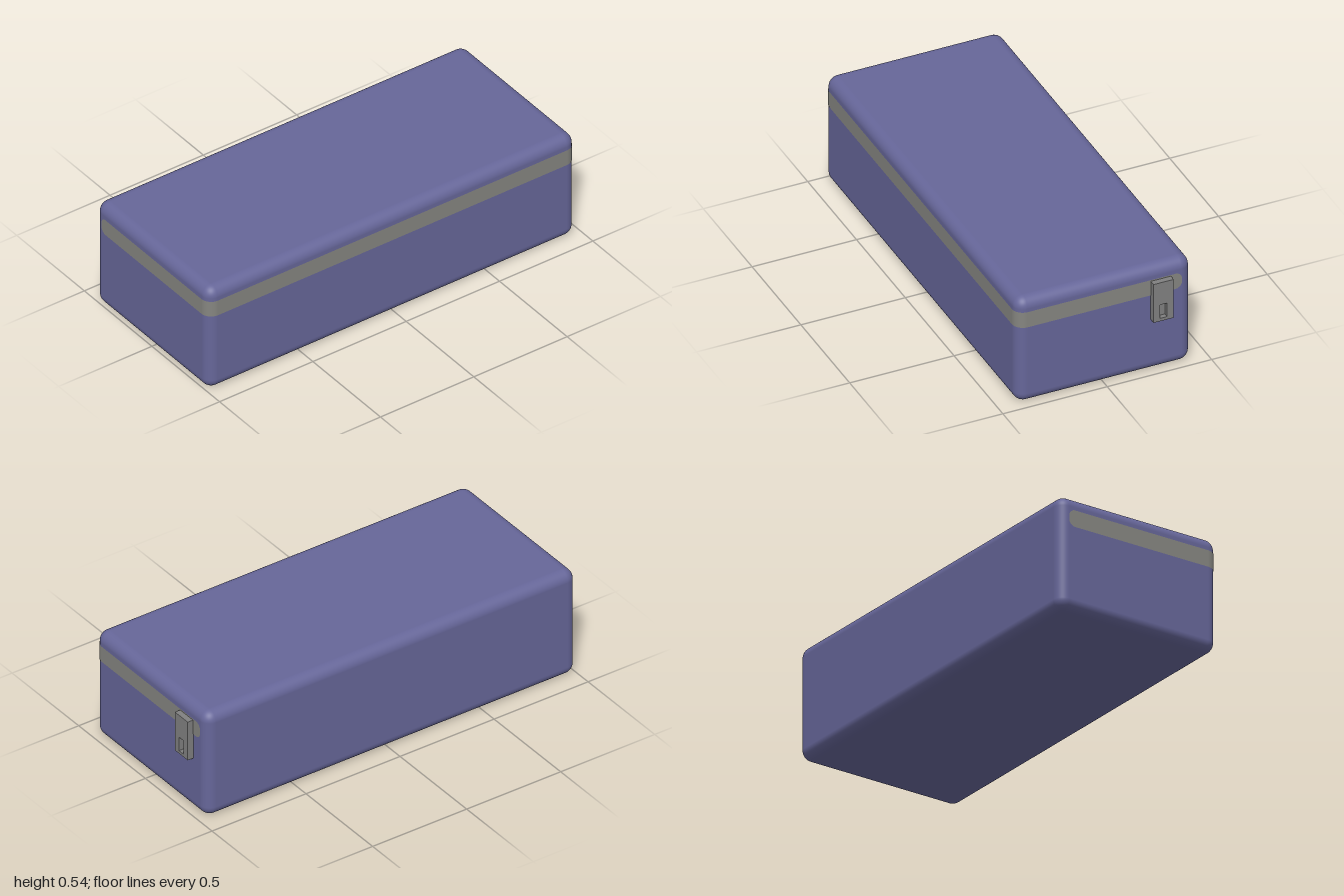
import * as THREE from 'three';
import { RoundedBoxGeometry } from 'three/addons/geometries/RoundedBoxGeometry.js';

const W = 0.418, H = 0.541, FRONT = 1, BACK = -0.97, R = 0.05;

// Band that follows the walls: front, +x side and back, with rounded-off ends
function bandGeometry(lift, bottom, top, endX) {
  const path = [];
  const add = (x, z, nx, nz, inset = 0) => path.push({ x, z, nx, nz, inset });
  const ends = [[0, 0.022], [0.008, 0.009], [0.022, 0]];
  ends.forEach(([d, inset]) => add(endX + d, FRONT + lift, 0, 1, inset));
  const corner = (cz, from) => {
    for (let i = 0; i <= 8; i++) {
      const a = from - (i / 8) * Math.PI / 2;
      const nx = Math.cos(a), nz = Math.sin(a);
      add(W - R + nx * (R + lift), cz + nz * (R + lift), nx, nz);
    }
  };
  corner(FRONT - R, Math.PI / 2);
  corner(BACK + R, 0);
  [...ends].reverse().forEach(([d, inset]) => add(endX + d, BACK - lift, 0, -1, inset));

  const pos = [], nor = [], idx = [];
  path.forEach((p, i) => {
    pos.push(p.x, bottom + p.inset, p.z, p.x, top - p.inset, p.z);
    nor.push(p.nx, 0, p.nz, p.nx, 0, p.nz);
    if (i) {
      const a = 2 * i - 2;
      idx.push(a, a + 2, a + 3, a, a + 3, a + 1);
    }
  });
  const g = new THREE.BufferGeometry();
  g.setAttribute('position', new THREE.Float32BufferAttribute(pos, 3));
  g.setAttribute('normal', new THREE.Float32BufferAttribute(nor, 3));
  g.setIndex(idx);
  return g;
}

export function createModel() {
  const fabric = new THREE.MeshStandardMaterial({ color: 0x666699 });
  fabric.name = 'purple fabric';
  const zipGrey = new THREE.MeshStandardMaterial({ color: 0x858580, side: THREE.DoubleSide });
  zipGrey.name = 'zip grey';
  const metal = new THREE.MeshStandardMaterial({ color: 0x808080 });
  metal.name = 'pull grey';

  const model = new THREE.Group();
  model.name = 'case';
  const add = (name, geometry, material, parent = model) => {
    const mesh = new THREE.Mesh(geometry, material);
    mesh.name = name;
    parent.add(mesh);
    return mesh;
  };

  // Soft-edged case
  const body = add('body', new RoundedBoxGeometry(2 * W, H, FRONT - BACK, 6, R), fabric);
  body.position.set(0, H / 2, (FRONT + BACK) / 2);

  // Zip around three walls
  add('zipBand', bandGeometry(0.002, 0.397, 0.476, -0.37), zipGrey);

  // Slotted zip pull hanging on the back wall
  const pull = new THREE.Group();
  pull.name = 'zipPull';
  pull.position.set(-0.27, 0.37, BACK);
  pull.rotation.y = Math.PI;
  model.add(pull);
  const rect = (Type, x0, y0, x1, y1) => new Type([
    new THREE.Vector2(x0, y0), new THREE.Vector2(x1, y0),
    new THREE.Vector2(x1, y1), new THREE.Vector2(x0, y1)]);
  const plate = rect(THREE.Shape, -0.048, -0.1, 0.048, 0.1);
  plate.holes.push(rect(THREE.Path, -0.017, -0.085, 0.017, -0.015));
  add('pullPlate', new THREE.ExtrudeGeometry(plate, { depth: 0.03, bevelEnabled: false }), metal, pull);
  const floor = add('pullSlotFloor', new THREE.BoxGeometry(0.034, 0.07, 0.006), metal, pull);
  floor.position.set(0, -0.05, 0.004);

  return model;
}
